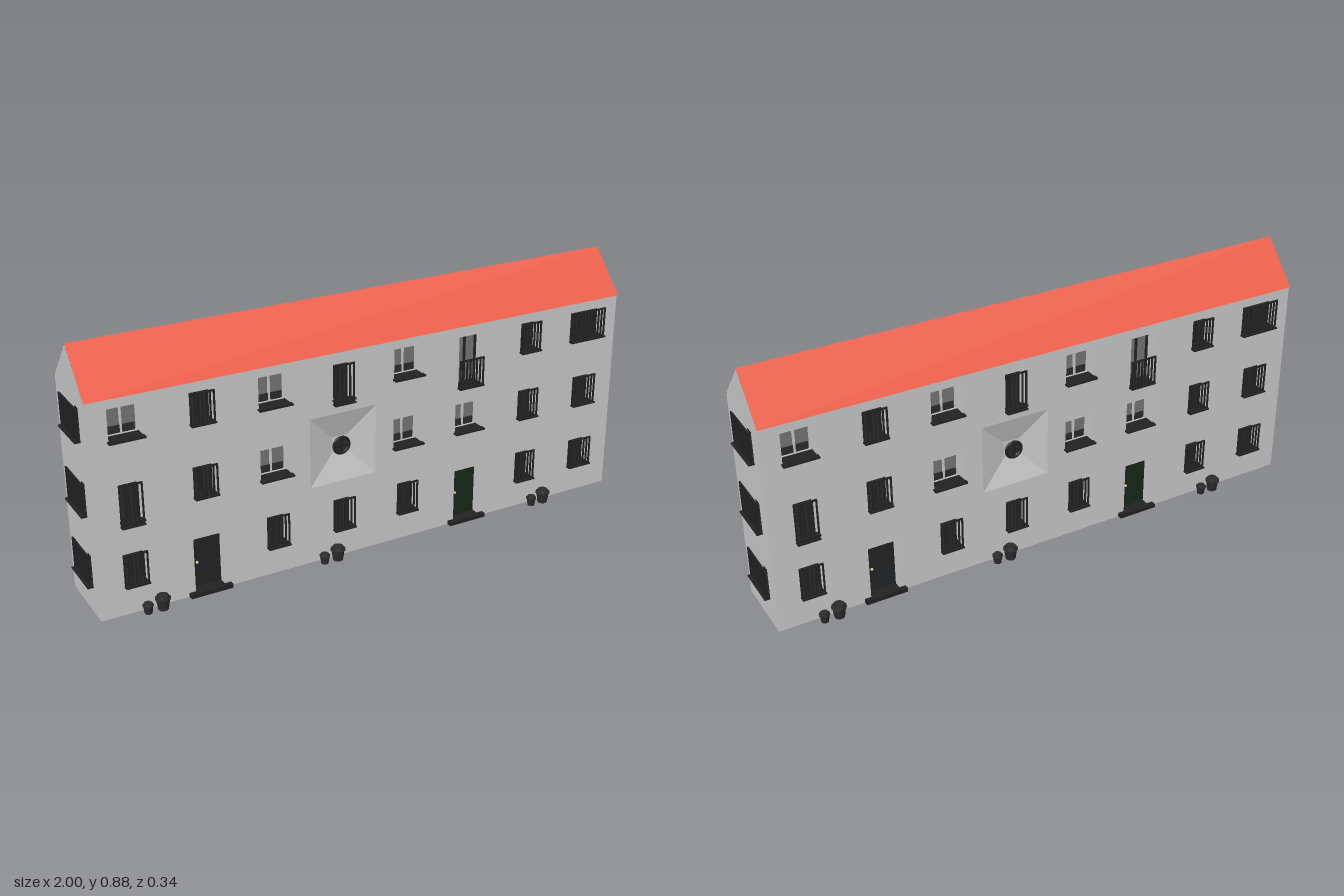
import * as THREE from 'three';

const mat = (color, side = THREE.FrontSide) => new THREE.MeshStandardMaterial({ color, side, flatShading: true });
const wallMat = mat(0xcccccc, THREE.DoubleSide);
const trimMat = mat(0xcccccc);
const roofMat = mat(0xee604a, THREE.DoubleSide);
const ironMat = mat(0x222222);
const darkMat = mat(0x2c2c2c, THREE.DoubleSide);
const glassMat = mat(0x777777, THREE.DoubleSide);
const greenMat = mat(0x18281a);
const slateMat = mat(0x222426);
const brassMat = mat(0xd8c890);

const HX = 0.98, HZ = 0.123, EAVE = 0.73, RIDGE = 0.875, DEPTH = 0.045;

function add(parent, name, geo, material, x = 0, y = 0, z = 0) {
  const m = new THREE.Mesh(geo, material);
  m.name = name;
  m.position.set(x, y, z);
  parent.add(m);
  return m;
}
const box = (parent, name, material, w, h, d, x, y, z) =>
  add(parent, name, new THREE.BoxGeometry(w, h, d), material, x, y, z);

// rectangular hole, anticlockwise, from its centre x, bottom, width and height
function rectPath(x, y, w, h) {
  const p = new THREE.Path();
  p.moveTo(x - w / 2, y);
  p.lineTo(x - w / 2, y + h);
  p.lineTo(x + w / 2, y + h);
  p.lineTo(x + w / 2, y);
  p.closePath();
  return p;
}

// upright bars between two rails, in front of the wall plane
function grille(g, x, y, w, h, z, name = 'windowBars') {
  const n = Math.max(5, Math.round(w / 0.0135));
  for (let i = 0; i <= n; i++) box(g, name, ironMat, 0.005, h, 0.005, x - w / 2 + (i * w) / n, y + h / 2, z);
  for (const yy of [y + 0.003, y + h - 0.003]) box(g, name + 'Rail', ironMat, w, 0.005, 0.006, x, yy, z);
}

// the four sides of a recess behind the wall
function reveal(g, x, y, w, h) {
  for (const s of [-1, 1]) {
    add(g, 'revealSide', new THREE.PlaneGeometry(DEPTH, h), wallMat, x + (s * w) / 2, y + h / 2, -DEPTH / 2).rotation.y = -s * Math.PI / 2;
    add(g, 'revealEdge', new THREE.PlaneGeometry(w, DEPTH), wallMat, x, y + h / 2 + (s * h) / 2, -DEPTH / 2).rotation.x = s * Math.PI / 2;
  }
}

function frame(g, x, y, w, h, z, material) {
  for (const k of [-1, 0, 1]) box(g, 'windowFrame', material, 0.006, h, 0.008, x + k * (w / 2 - 0.003), y + h / 2, z);
  for (const yy of [y + 0.003, y + h - 0.003]) box(g, 'windowFrame', material, w, 0.006, 0.008, x, yy, z);
}

const kinds = {
  // two glazed casements behind a sill
  casement(g, x, y, w, h) {
    add(g, 'windowPane', new THREE.PlaneGeometry(w, h), glassMat, x, y + h / 2, -DEPTH);
    frame(g, x, y, w, h, -DEPTH + 0.006, trimMat);
    box(g, 'lowerPane', darkMat, w - 0.02, 0.025, 0.004, x, y + 0.018, -DEPTH + 0.004);
    box(g, 'sill', ironMat, w + 0.008, 0.006, 0.055, x, y, -0.009);
  },
  // dark window behind iron bars
  barred(g, x, y, w, h) {
    add(g, 'windowPane', new THREE.PlaneGeometry(w, h), darkMat, x, y + h / 2, -DEPTH);
    frame(g, x, y, w, h, -DEPTH + 0.006, slateMat);
    grille(g, x, y, w, h, 0.008);
    box(g, 'sill', ironMat, w + 0.004, 0.005, 0.055, x, y, -0.008);
  },
  // tall window with a railing over its lower part
  french(g, x, y, w, h) {
    add(g, 'windowPane', new THREE.PlaneGeometry(w, h), glassMat, x, y + h / 2, -DEPTH);
    frame(g, x, y, w, h, -DEPTH + 0.006, slateMat);
    grille(g, x, y, w, h * 0.56, 0.012, 'balcony');
    box(g, 'balconyFloor', ironMat, w + 0.004, 0.006, 0.055, x, y, -0.009);
  },
  door(g, x, y, w, h, leafMat) {
    box(g, 'doorLeaf', leafMat, w, h, 0.008, x, y + h / 2, -0.03);
    for (let i = -2; i <= 2; i++) box(g, 'doorPlank', leafMat, 0.012, h - 0.02, 0.006, x + i * 0.018, y + h / 2, -0.024);
    add(g, 'doorKnob', new THREE.SphereGeometry(0.005, 10, 8), brassMat, x - 0.034, y + h / 2, -0.017);
    box(g, 'doorstep', ironMat, 0.145, 0.014, 0.06, x, 0.007, -0.012);
  },
};

// wall from an outline, with every opening cut and fitted
function wall(g, name, outline, openings, extraHoles = []) {
  const shape = new THREE.Shape(outline.map(([x, y]) => new THREE.Vector2(x, y)));
  for (const [, x, y, w, h] of openings) shape.holes.push(rectPath(x, y, w, h));
  shape.holes.push(...extraHoles);
  add(g, name, new THREE.ShapeGeometry(shape), wallMat);
  for (const [kind, x, y, w, h, m] of openings) {
    reveal(g, x, y, w, h);
    kinds[kind](g, x, y, w, h, m);
  }
}

// shallow square funnel with a round spoked window
function roundWindow(g, x, y) {
  const funnel = new THREE.CylinderGeometry(0.122 * Math.SQRT2, 0.03 * Math.SQRT2, 0.025, 4, 1, true);
  funnel.rotateY(Math.PI / 4).rotateX(Math.PI / 2);
  add(g, 'windowFunnel', funnel, wallMat, x, y, -0.0125);
  add(g, 'funnelBack', new THREE.PlaneGeometry(0.06, 0.06), wallMat, x, y, -0.025);
  add(g, 'roundPane', new THREE.CircleGeometry(0.028, 28), darkMat, x, y, -0.02);
  add(g, 'roundFrame', new THREE.TorusGeometry(0.028, 0.005, 8, 28), ironMat, x, y, -0.012);
  box(g, 'roundSpoke', ironMat, 0.056, 0.006, 0.008, x, y, -0.012);
  box(g, 'roundSpoke', ironMat, 0.006, 0.056, 0.008, x, y, -0.012);
}

function planter(g, x, s) {
  const pts = [[0, 0], [0.017, 0], [0.022, 0.035], [0.025, 0.036], [0.025, 0.041], [0.02, 0.042], [0.018, 0.05], [0, 0.05]];
  const geo = new THREE.LatheGeometry(pts.map(([r, y]) => new THREE.Vector2(r * s, y * s)), 16);
  add(g, 'planter', geo, darkMat, x, 0, 0.024);
}

function buildHalf() {
  const half = new THREE.Group();
  const col = i => -0.858 + 0.2445 * i;

  // long facade
  const facade = new THREE.Group();
  facade.name = 'facade';
  facade.position.z = HZ;
  const openings = [
    ...[0, 2, 4].map(i => ['casement', col(i), 0.592, 0.108, 0.105]),
    ...[1, 6].map(i => ['barred', col(i), 0.59, 0.078, 0.105]),
    ['barred', col(3), 0.553, 0.072, 0.135],
    ['french', col(5), 0.51, 0.092, 0.182],
    ['barred', col(7), 0.59, 0.143, 0.105],
    ['barred', col(0), 0.307, 0.072, 0.14],
    ...[2, 4, 5].map(i => ['casement', col(i), 0.345, 0.108, 0.105]),
    ...[1, 6].map(i => ['barred', col(i), 0.343, 0.078, 0.105]),
    ['barred', col(7), 0.343, 0.092, 0.108],
    ...[0, 2, 3, 4, 6].map(i => ['barred', col(i), 0.1, 0.076, 0.11]),
    ['barred', col(7), 0.1, 0.092, 0.105],
    ['door', col(1), 0.012, 0.1, 0.188, slateMat],
    ['door', col(5), 0.012, 0.1, 0.188, greenMat],
  ];
  const cy = 0.397;
  wall(facade, 'longWall', [[-HX, 0], [HX, 0], [HX, EAVE + 0.007], [-HX, EAVE + 0.007]], openings,
    [rectPath(col(3), cy - 0.122, 0.244, 0.244)]);
  roundWindow(facade, col(3), cy);
  for (const [i, y] of [[3, 0.566], [0, 0.321]]) box(facade, 'balconyRail', ironMat, 0.076, 0.006, 0.02, col(i), y, 0.01);
  for (const x of [-0.81, -0.185, 0.66]) {
    planter(facade, x - 0.025, 0.72);
    planter(facade, x + 0.025, 1);
  }
  half.add(facade);

  // gable end
  const gable = new THREE.Group();
  gable.name = 'gableEnd';
  gable.position.x = HX;
  gable.rotation.y = Math.PI / 2;
  wall(gable, 'gableWall', [[-HZ, 0], [HZ, 0], [HZ, EAVE + 0.007], [0, RIDGE - 0.001], [-HZ, EAVE + 0.007]],
    [0.098, 0.343, 0.59].map(y => ['barred', 0, y, 0.146, 0.108]));
  half.add(gable);

  // roof slope, thin and reaching just past the wall
  const run = 0.13, rise = RIDGE - EAVE;
  const slope = add(half, 'roofSlope', new THREE.PlaneGeometry(2 * HX, Math.hypot(run, rise)), roofMat, 0, EAVE + rise / 2, run / 2);
  slope.rotation.x = -Math.atan2(run, rise);
  return half;
}

export function createModel() {
  const model = new THREE.Group();
  model.name = 'apartmentHouse';
  const front = buildHalf();
  front.name = 'frontHalf';
  const back = buildHalf();
  back.name = 'backHalf';
  back.rotation.y = Math.PI;
  model.add(front, back);
  return model;
}
